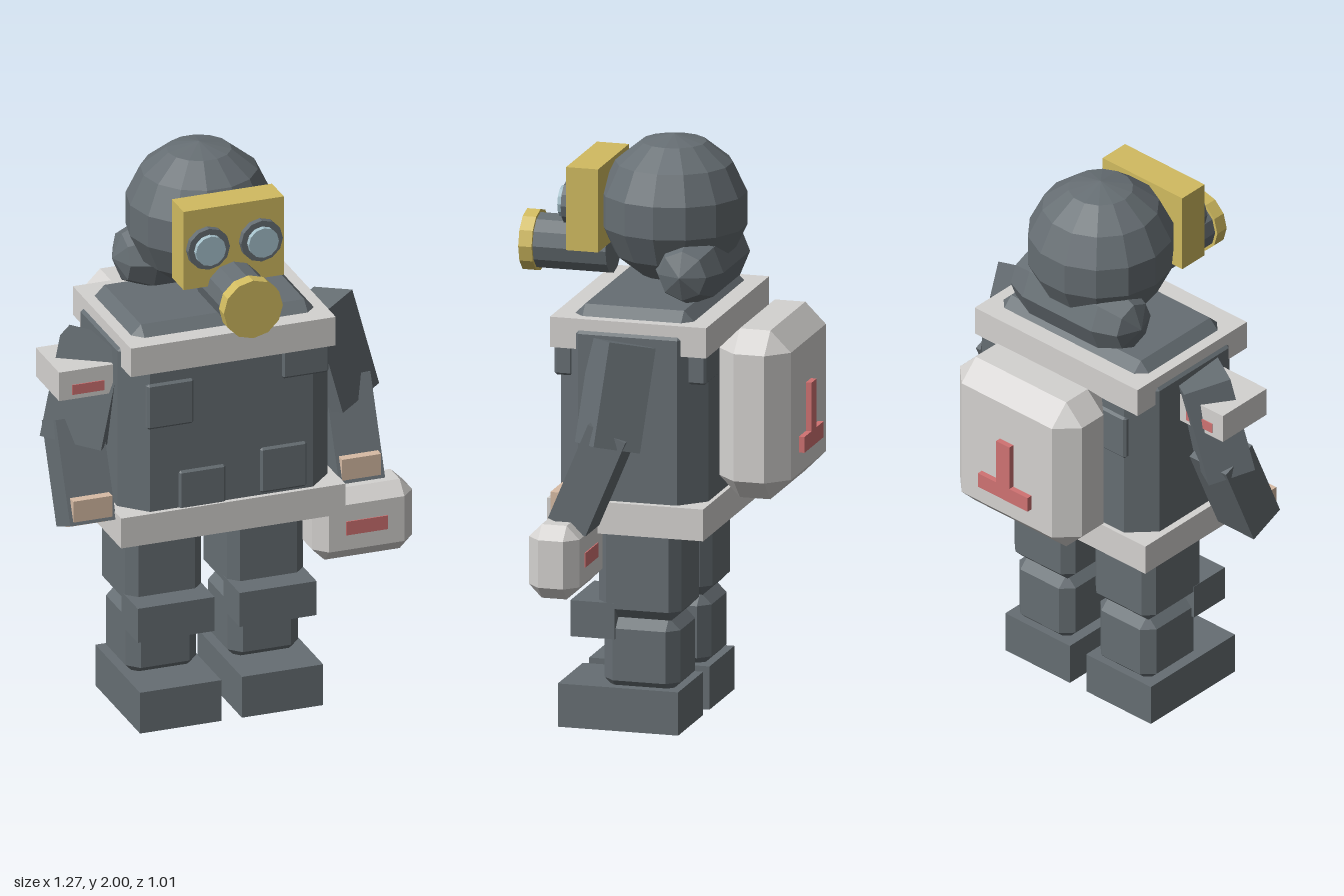
import * as THREE from 'three';
import { ConvexGeometry } from 'three/addons/geometries/ConvexGeometry.js';

const material = (name, color) => {
  const m = new THREE.MeshStandardMaterial({ color });
  m.name = name;
  return m;
};

// Facets every polygon
function flat(geometry) {
  const g = geometry.index ? geometry.toNonIndexed() : geometry;
  g.computeVertexNormals();
  return g;
}

// Box with every edge cut at 45 degrees
function chamferBox(w, h, d, c) {
  const [x, y, z] = [w / 2, h / 2, d / 2];
  const points = [];
  for (const i of [-1, 1]) for (const j of [-1, 1]) for (const k of [-1, 1]) {
    points.push(
      new THREE.Vector3(i * x, j * (y - c), k * (z - c)),
      new THREE.Vector3(i * (x - c), j * y, k * (z - c)),
      new THREE.Vector3(i * (x - c), j * (y - c), k * z));
  }
  return flat(new ConvexGeometry(points));
}

export function createModel() {
  const gray = material('suit gray', 0x666e73);
  const white = material('pale gray', 0xd4d2d0);
  const yellow = material('mask yellow', 0xd1bb60);
  const glass = material('lens blue', 0xa5c0ca);
  const red = material('mark red', 0xd07272);
  const skin = material('skin', 0xd8bca5);

  const model = new THREE.Group();
  model.name = 'suitedFigure';
  const body = new THREE.Group();
  body.name = 'body';
  body.position.x = -0.03;
  model.add(body);

  const add = (name, geometry, mat, x = 0, y = 0, z = 0) => {
    const mesh = new THREE.Mesh(geometry, mat);
    mesh.name = name;
    mesh.position.set(x, y, z);
    body.add(mesh);
    return mesh;
  };
  // Block given by its limits on each axis, optionally chamfered
  const block = (name, mat, [x0, x1], [y0, y1], [z0, z1], c = 0) => {
    const size = [x1 - x0, y1 - y0, z1 - z0];
    const g = c ? chamferBox(...size, c) : new THREE.BoxGeometry(...size);
    return add(name, g, mat, (x0 + x1) / 2, (y0 + y1) / 2, (z0 + z1) / 2);
  };
  // Disc or tube lying along z
  const disc = (name, mat, r, x, y, z0, z1, sides = 12) => {
    const g = new THREE.CylinderGeometry(r, r, z1 - z0, sides).rotateX(Math.PI / 2);
    return add(name, flat(g), mat, x, y, (z0 + z1) / 2);
  };
  // Box along the line from bottom to top, its width turned towards side
  const limb = (name, mat, bottom, top, side, w, d) => {
    const a = new THREE.Vector3(...bottom), b = new THREE.Vector3(...top);
    const up = b.clone().sub(a);
    const length = up.length();
    up.normalize();
    const out = new THREE.Vector3().crossVectors(new THREE.Vector3(...side), up).normalize();
    const across = new THREE.Vector3().crossVectors(up, out);
    const mesh = add(name, new THREE.BoxGeometry(w, length, d), mat);
    mesh.quaternion.setFromRotationMatrix(new THREE.Matrix4().makeBasis(across, up, out));
    mesh.position.copy(a.add(b).multiplyScalar(0.5));
  };

  // Head and folded hood
  add('head', flat(new THREE.SphereGeometry(0.254, 14, 7)), gray, 0, 1.746, -0.012);
  const hood = new THREE.CapsuleGeometry(0.12, 0.31, 2, 8).rotateZ(Math.PI / 2);
  add('hood', flat(hood), gray, 0, 1.57, -0.112);

  // Mask with eyepieces and filter
  block('maskPlate', yellow, [-0.178, 0.182], [1.615, 1.903], [0.2, 0.312]);
  for (const s of [-1, 1]) {
    disc('eyeRim', gray, 0.075, s * 0.095, 1.762, 0.305, 0.335);
    disc('eyeLens', glass, 0.054, s * 0.095, 1.762, 0.32, 0.353);
  }
  disc('filterTube', gray, 0.096, 0, 1.596, 0.2, 0.46);
  disc('filterCap', yellow, 0.106, 0, 1.596, 0.456, 0.503);

  // Torso, bands and pockets
  block('torso', gray, [-0.378, 0.378], [0.705, 1.465], [-0.22, 0.296], 0.085);
  block('upperBand', white, [-0.368, 0.368], [1.325, 1.43], [-0.235, 0.313]);
  block('lowerBand', white, [-0.403, 0.403], [0.7, 0.81], [-0.235, 0.313]);
  for (const [x, y, front] of [
    [-0.22, 1.197, 1], [0.265, 1.308, 1], [-0.106, 0.862, 1], [0.186, 0.9, 1],
    [-0.22, 1.197, 0], [0.265, 1.308, 0],
  ]) {
    const z = front ? [0.24, 0.304] : [-0.228, -0.16];
    block('pocket', gray, [x - 0.084, x + 0.084], [y - 0.083, y + 0.083], z, 0.008);
  }

  // Backpack with raised red mark
  block('backpack', white, [-0.276, 0.276], [0.81, 1.395], [-0.483, -0.232], 0.072);
  block('backMarkBase', red, [-0.112, 0.112], [0.955, 1.01], [-0.503, -0.475]);
  block('backMarkStem', red, [-0.03, 0.03], [1.01, 1.178], [-0.503, -0.475]);

  for (const s of [-1, 1]) {
    // Leg
    const across = (half) => [s * 0.183 - half, s * 0.183 + half];
    block('thigh', gray, across(0.137), [0.385, 0.76], [-0.123, 0.165], 0.035);
    block('shin', gray, across(0.127), [0.13, 0.39], [-0.115, 0.15], 0.04);
    block('kneePad', gray, across(0.138), [0.315, 0.44], [0.1, 0.255]);
    block('foot', gray, across(0.146), [0, 0.15], [-0.125, 0.297]);

    // Arm
    limb('upperArm', gray, [s * 0.479, 1.02, 0.078], [s * 0.394, 1.365, 0.048],
      [s * 0.177, 0.035, -0.12], 0.214, 0.165);
    limb('forearm', gray, [s * 0.483, 0.757, 0.195], [s * 0.483, 1.09, 0.055],
      [1, 0, 0], 0.165, 0.142);

    // Bare hand showing at the wrist and cuff opening
    block('wrist', skin, [s * 0.483 - 0.07, s * 0.483 + 0.07], [0.785, 0.872], [0.15, 0.256]);
    limb('palm', skin, [s * 0.483, 0.75, 0.188], [s * 0.483, 0.759, 0.184],
      [1, 0, 0], 0.125, 0.06);
  }

  // Carried case with a red strip on both faces
  block('handCase', white, [0.3, 0.66], [0.52, 0.775], [0.135, 0.312], 0.045);
  for (const z of [0.135, 0.312]) {
    block('caseStrip', red, [0.405, 0.555], [0.62, 0.67], [z - 0.004, z + 0.004]);
  }

  // Arm badge with a red strip on both faces
  block('armBadge', white, [-0.576, -0.382], [1.215, 1.32], [-0.038, 0.182]);
  for (const z of [-0.038, 0.182]) {
    block('badgeStrip', red, [-0.53, -0.414], [1.232, 1.268], [z - 0.004, z + 0.004]);
  }

  return model;
}
